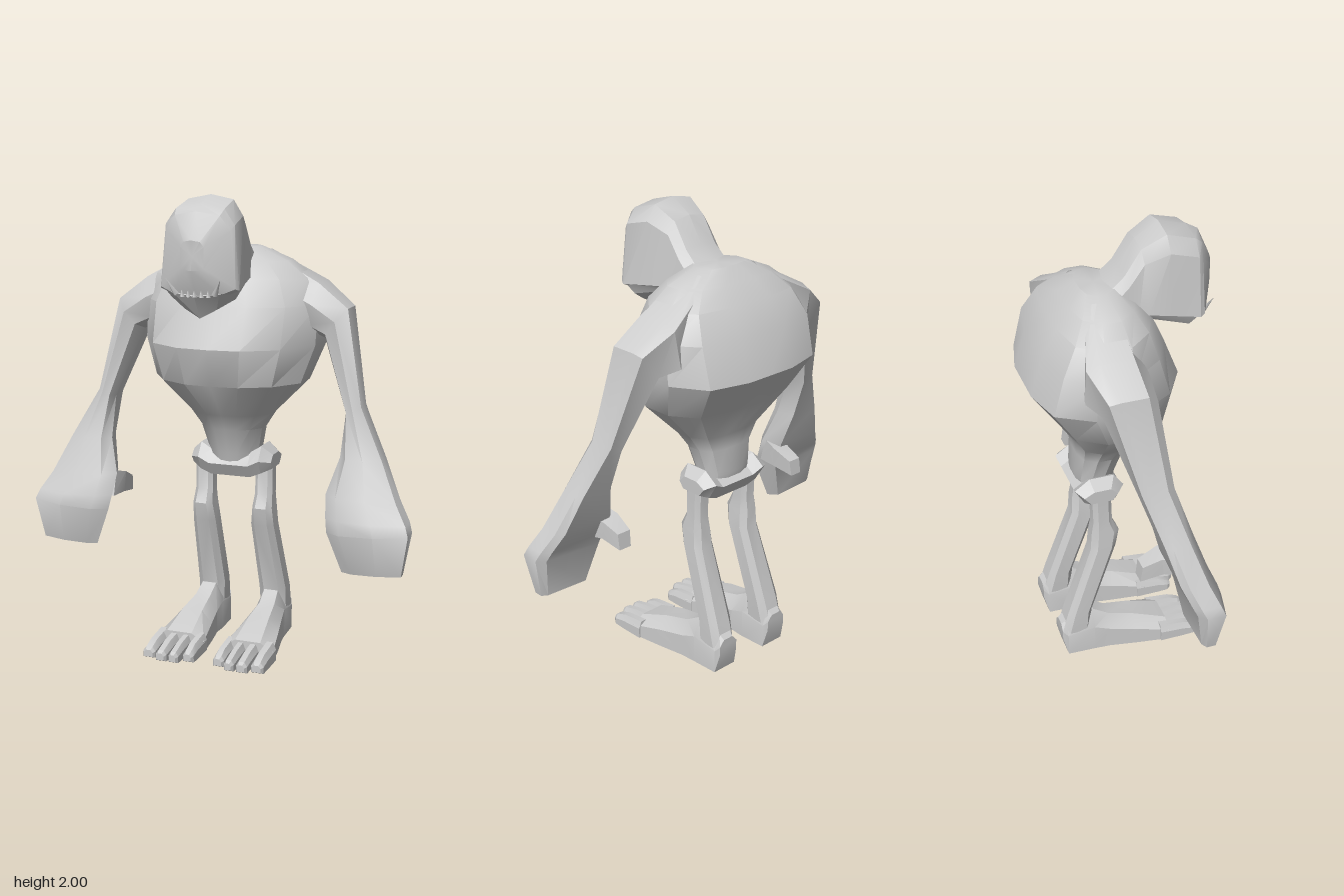
import * as THREE from 'three';
import { toCreasedNormals } from 'three/addons/utils/BufferGeometryUtils.js';

const skin = new THREE.MeshStandardMaterial({ color: 0xcccccc });
skin.name = 'grey skin';

// Skins a list of equal-length rings of [x, y, z], closes both ends and turns faces outward
function loft(rings, crease = 0.55) {
  const n = rings[0].length, tris = [];
  const tri = (a, b, c) => tris.push([a, b, c]);
  for (let r = 0; r < rings.length - 1; r++) {
    for (let i = 0; i < n; i++) {
      const j = (i + 1) % n, p = rings[r], q = rings[r + 1];
      tri(p[i], p[j], q[j]);
      tri(p[i], q[j], q[i]);
    }
  }
  const middle = ring => [0, 1, 2].map(k => ring.reduce((s, p) => s + p[k], 0) / n);
  const first = rings[0], last = rings[rings.length - 1];
  const c0 = middle(first), c1 = middle(last);
  for (let i = 0; i < n; i++) {
    const j = (i + 1) % n;
    tri(c0, first[j], first[i]);
    tri(c1, last[i], last[j]);
  }
  let volume = 0;
  for (const [a, b, c] of tris) {
    volume += a[0] * (b[1] * c[2] - b[2] * c[1]) + a[1] * (b[2] * c[0] - b[0] * c[2]) + a[2] * (b[0] * c[1] - b[1] * c[0]);
  }
  const ordered = volume < 0 ? tris.map(([a, b, c]) => [a, c, b]) : tris;
  const geometry = new THREE.BufferGeometry();
  geometry.setAttribute('position', new THREE.Float32BufferAttribute(ordered.flat(2), 3));
  geometry.computeVertexNormals();
  return toCreasedNormals(geometry, crease);
}

const mirrorRings = (rings, s) => rings.map(ring => ring.map(([x, y, z]) => [x * s, y, z]));

// Symmetric ring from a half outline running from one centre point to the other
function symmetric(half) {
  const back = half.slice(1, -1).reverse().map(([x, y, z]) => [-x, y, z]);
  return [...half, ...back];
}

// Torso: [height, half width, front z, back z]
function torsoRing([y, w, zf, zb]) {
  const outline = [[0, 1], [0.36, 0.98], [0.74, 0.84], [1, 0.58], [1, 0.3], [0.77, 0.07], [0.32, 0], [0, 0]];
  return symmetric(outline.map(([x, t]) => [x * w, y, zb + (zf - zb) * t]));
}

// Head: [top z, top y, bottom z, bottom y, upper half width, lower half width, side set-back]
function headRing([zt, yt, zb, yb, wt, wb, back]) {
  const at = (x, t, k) => [x, yt + (yb - yt) * t, zt + (zb - zt) * t - back * k];
  return symmetric([at(0, 0, 0), at(wt * 0.7, 0.05, 0.6), at(wt, 0.22, 1), at(wb, 0.92, 1), at(wb * 0.65, 0.99, 0.6), at(0, 1, 0)]);
}

// Limb ring between an inner and an outer point, flattened from front z to back z
function limbRing([xi, yi, xo, yo, zf, zb]) {
  const mix = (t, k) => [xi + (xo - xi) * t, yi + (yo - yi) * t, zb + (zf - zb) * k];
  return [mix(0, 0.6), mix(0.18, 0.92), mix(0.6, 1), mix(1, 0.75), mix(1, 0.2), mix(0.9, 0), mix(0.12, 0)];
}

// Leg ring at one height, eight sided
function legRing([y, x0, x1, zf, zb]) {
  const outline = [[0, 0.22], [0, 0.78], [0.22, 1], [0.78, 1], [1, 0.78], [1, 0.22], [0.78, 0], [0.22, 0]];
  return outline.map(([u, v]) => [x0 + (x1 - x0) * u, y, zb + (zf - zb) * v]);
}

// Hip belt ring at one x, six sided: [x, bottom, top, front z, back z]
function beltRing([x, y0, y1, zf, zb]) {
  const outline = [[0.85, 0], [1, 0.5], [0.8, 1], [0.3, 1], [0, 0.6], [0.2, 0]];
  return outline.map(([t, u]) => [x, y0 + (y1 - y0) * u, zb + (zf - zb) * t]);
}

// Foot ring at one z with bevelled upper corners
function footRing([z, x0, x1, y0, y1]) {
  const w = x1 - x0, h = y1 - y0;
  return [[x0, y0, z], [x1, y0, z], [x1, y0 + h * 0.6, z], [x0 + w * 0.75, y1, z], [x0 + w * 0.25, y1, z], [x0, y0 + h * 0.6, z]];
}

export function createModel() {
  const model = new THREE.Group();
  model.name = 'creature';
  const add = (name, geometry) => {
    const mesh = new THREE.Mesh(geometry, skin);
    mesh.name = name;
    model.add(mesh);
    return mesh;
  };

  // Hunched trunk, from waist to nape
  add('torso', loft([
    [0.8, 0.1, -0.03, -0.18], [0.88, 0.115, -0.01, -0.2], [0.99, 0.14, 0.03, -0.19],
    [1.06, 0.185, 0.07, -0.2], [1.21, 0.33, 0.2, -0.29], [1.37, 0.385, 0.24, -0.4],
    [1.54, 0.39, 0.17, -0.35], [1.65, 0.34, 0.12, -0.28], [1.72, 0.25, 0.06, -0.22], [1.775, 0.12, -0.01, -0.16],
  ].map(torsoRing), 0.5));

  // Bony belt joining both hips
  add('pelvis', loft([
    [-0.185, 0.81, 0.87, -0.05, -0.2], [-0.14, 0.79, 0.91, -0.01, -0.23], [-0.09, 0.77, 0.88, -0.01, -0.22],
    [0.09, 0.77, 0.88, -0.01, -0.22], [0.14, 0.79, 0.91, -0.01, -0.23], [0.185, 0.81, 0.87, -0.05, -0.2],
  ].map(beltRing), 0.3));

  // Head thrust forward from the nape
  add('head', loft([
    [-0.06, 1.77, 0, 1.55, 0.12, 0.14, 0], [0.01, 1.83, 0.06, 1.62, 0.115, 0.13, 0],
    [0.08, 1.94, 0.1, 1.635, 0.115, 0.14, 0], [0.18, 2, 0.2, 1.615, 0.14, 0.155, 0],
    [0.3, 1.967, 0.31, 1.6, 0.148, 0.17, 0], [0.35, 1.94, 0.36, 1.61, 0.137, 0.16, 0.03],
    [0.4, 1.83, 0.4, 1.71, 0.05, 0.05, 0.01],
  ].map(headRing), 0.5));

  // Wedge jaw narrowing to a keel with a pointed chin
  add('jaw', loft([
    symmetric([[0, 1.605, 0.37], [0.1, 1.615, 0.35], [0.165, 1.635, 0.3], [0.14, 1.66, 0.1], [0, 1.66, 0.08]]),
    symmetric([[0, 1.51, 0.31], [0.07, 1.547, 0.3], [0.14, 1.59, 0.27], [0.12, 1.635, 0.1], [0, 1.63, 0.1]]),
    symmetric([[0, 1.51, 0.31], [0.02, 1.53, 0.28], [0.02, 1.55, 0.24], [0.02, 1.62, 0.11], [0, 1.63, 0.1]]),
  ], 0.3));

  // Row of small teeth
  for (let i = -2; i <= 2; i++) {
    const tooth = add('tooth', new THREE.ConeGeometry(0.011, 0.03, 4));
    tooth.position.set(i * 0.028, 1.617, 0.366 - Math.abs(i) * 0.004);
  }

  for (const s of [1, -1]) {
    const side = s > 0 ? 'left' : 'right';
    const part = (name, rings, crease) => add(side + name, loft(mirrorRings(rings, s), crease));

    // Tusk leaning outward
    const tusk = add(side + 'Tusk', new THREE.ConeGeometry(0.013, 0.08, 4));
    tusk.position.set(s * 0.1, 1.645, 0.37);
    tusk.rotation.set(0.4, 0, -s * 0.45);

    // Shoulder, arm and mitten hand in one run
    part('Arm', [
      [0.2, 1.46, 0.15, 1.76, -0.02, -0.18], [0.35, 1.42, 0.39, 1.63, 0.01, -0.25],
      [0.415, 1.4, 0.52, 1.53, 0.01, -0.2], [0.53, 1.1, 0.6, 1.13, 0.05, -0.095],
      [0.525, 0.92, 0.71, 0.92, 0.11, -0.03], [0.48, 0.77, 0.785, 0.76, 0.165, 0.015],
      [0.49, 0.68, 0.835, 0.68, 0.2, 0.05], [0.5, 0.62, 0.85, 0.64, 0.215, 0.07],
      [0.565, 0.45, 0.82, 0.46, 0.17, 0.1],
    ].map(limbRing), 0.65);

    // Thumb bent behind the palm
    part('Thumb', [
      [[0.49, 0.78, 0.09], [0.6, 0.76, 0.1], [0.6, 0.67, 0.12], [0.49, 0.67, 0.12]],
      [[0.475, 0.76, 0.02], [0.56, 0.75, 0.01], [0.56, 0.67, 0.02], [0.48, 0.67, 0.03]],
      [[0.485, 0.72, -0.07], [0.55, 0.72, -0.07], [0.55, 0.65, -0.08], [0.49, 0.65, -0.08]],
    ], 0.3);

    // Thin leg with a bony knee
    part('Leg', [
      [0.83, 0.1, 0.18, -0.075, -0.16], [0.69, 0.1, 0.18, -0.07, -0.155],
      [0.63, 0.095, 0.185, -0.04, -0.165], [0.55, 0.085, 0.19, -0.055, -0.17],
      [0.22, 0.085, 0.21, -0.175, -0.285], [0.12, 0.09, 0.21, -0.175, -0.315],
    ].map(legRing));

    // Long flat foot
    part('Foot', [
      [-0.318, 0.1, 0.2, 0.09, 0.16], [-0.295, 0.09, 0.21, 0, 0.18], [-0.17, 0.085, 0.215, 0, 0.215],
      [-0.1, 0.085, 0.225, 0.005, 0.175], [0.02, 0.065, 0.25, 0.008, 0.148], [0.17, 0.045, 0.275, 0.01, 0.095],
    ].map(footRing), 0.4);

    // Four blunt toes: [inner x, outer x, tip z]
    for (const [x0, x1, tip] of [[0.045, 0.095, 0.3], [0.105, 0.15, 0.33], [0.16, 0.21, 0.33], [0.22, 0.277, 0.31]]) {
      part('Toe', [
        [0.13, x0, x1, 0.01, 0.09], [0.24, x0, x1, 0.01, 0.078],
        [tip - 0.015, x0, x1, 0.012, 0.06], [tip, x0 + 0.008, x1 - 0.008, 0.02, 0.05],
      ].map(footRing), 0.3);
    }
  }
  return model;
}
